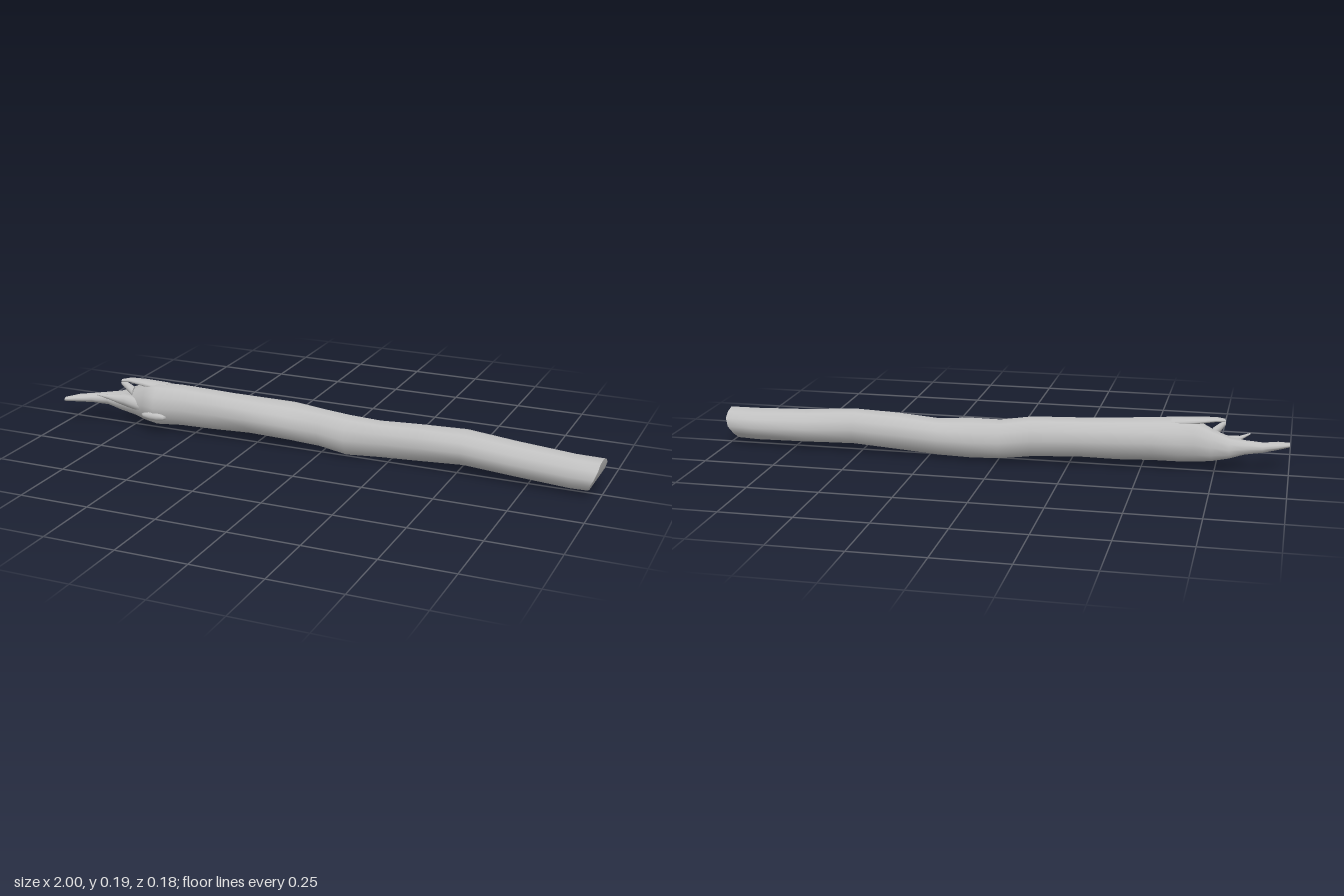
import * as THREE from 'three';

const SIDES = 12;

// Skins a closed tube over sections [x, yMin, yMax, zMin, zMax]; xShift bends the cut end
function loft(name, sections, material, xShift = () => 0) {
  const pos = [], index = [];
  const ring = ([x, y0, y1, z0, z1]) => {
    for (let j = 0; j < SIDES; j++) {
      const a = (j / SIDES) * Math.PI * 2;
      // gentle knots that never exceed the section's extents
      const r = 1 - 0.035 * (1 + Math.sin(3 * a + 9 * x)) * Math.abs(Math.sin(2 * a));
      const y = (y0 + y1) / 2 + Math.sin(a) * r * (y1 - y0) / 2;
      const z = (z0 + z1) / 2 + Math.cos(a) * r * (z1 - z0) / 2;
      pos.push(x + xShift(x, y, z), y, z);
    }
  };
  sections.forEach(ring);
  for (let i = 0; i < sections.length - 1; i++) {
    for (let j = 0; j < SIDES; j++) {
      const k = (j + 1) % SIDES, p = i * SIDES, q = p + SIDES;
      index.push(p + j, q + j, p + k, q + j, q + k, p + k);
    }
  }
  // End caps with their own rings, so the rims stay sharp
  [[sections[0], true], [sections[sections.length - 1], false]].forEach(([s, start]) => {
    const base = pos.length / 3;
    ring(s);
    const y = (s[1] + s[2]) / 2, z = (s[3] + s[4]) / 2;
    pos.push(s[0] + xShift(s[0], y, z), y, z);
    for (let j = 0; j < SIDES; j++) {
      const a = base + j, b = base + (j + 1) % SIDES;
      index.push(base + SIDES, start ? a : b, start ? b : a);
    }
  });
  const geo = new THREE.BufferGeometry();
  geo.setAttribute('position', new THREE.Float32BufferAttribute(pos, 3));
  geo.setIndex(index);
  geo.computeVertexNormals();
  const mesh = new THREE.Mesh(geo, material);
  mesh.name = name;
  return mesh;
}

export function createModel() {
  const group = new THREE.Group();
  group.name = 'brokenBranch';
  const bark = new THREE.MeshStandardMaterial({ color: 0xc0c0c0 });
  bark.name = 'greyBark';

  // Trunk, tapering to a curved tongue at the broken end
  const trunk = [
    [-1.0, 0.08, 0.095, 0.06, 0.088],
    [-0.96, 0.076, 0.103, 0.025, 0.075],
    [-0.91, 0.07, 0.106, 0.002, 0.045],
    [-0.85, 0.064, 0.115, -0.018, 0.034],
    [-0.8, 0.048, 0.124, -0.028, 0.035],
    [-0.74, 0.035, 0.15, -0.036, 0.042],
    [-0.68, 0.026, 0.178, -0.042, 0.07],
    [-0.63, 0.022, 0.183, -0.05, 0.085],
    [-0.54, 0.026, 0.18, -0.06, 0.066],
    [-0.42, 0.024, 0.174, -0.068, 0.055],
    [-0.28, 0.027, 0.168, -0.077, 0.052],
    [-0.12, 0.02, 0.164, -0.086, 0.048],
    [-0.01, 0.009, 0.15, -0.09, 0.026],
    [0.1, 0.001, 0.147, -0.086, 0.048],
    [0.21, 0.006, 0.14, -0.08, 0.03],
    [0.36, 0.015, 0.15, -0.078, 0.04],
    [0.52, 0.026, 0.155, -0.075, 0.046],
    [0.7, 0.019, 0.141, -0.071, 0.055],
    [0.9, 0.013, 0.131, -0.062, 0.066],
    [1.0, 0.015, 0.13, -0.058, 0.07],
  ];
  // Slanted cut: the low front edge falls short of the top
  const cut = (x, y, z) => x < 0.95 ? 0
    : -0.55 * Math.max(0, 0.09 - y) - 0.12 * Math.max(0, z);
  group.add(loft('trunk', trunk, bark, cut));

  // Splinter curling over the top of the break
  group.add(loft('upperSplinter', [
    [-0.78, 0.168, 0.18, 0.022, 0.04],
    [-0.75, 0.17, 0.186, 0.005, 0.04],
    [-0.69, 0.162, 0.185, -0.012, 0.045],
    [-0.6, 0.14, 0.182, -0.02, 0.04],
  ], bark));

  // Strut closing the gap beneath the curled splinter
  group.add(loft('splinterStrut', [
    [-0.782, 0.158, 0.176, 0.024, 0.038],
    [-0.765, 0.135, 0.168, 0.012, 0.034],
    [-0.74, 0.11, 0.15, 0, 0.034],
  ], bark));

  // Sharp prong on the front of the break
  group.add(loft('frontSplinter', [
    [-0.865, 0.118, 0.124, 0.067, 0.075],
    [-0.83, 0.1, 0.118, 0.036, 0.058],
    [-0.77, 0.075, 0.122, 0.01, 0.05],
    [-0.68, 0.06, 0.12, 0, 0.062],
  ], bark));

  // Small raised knot near the broken end
  const knot = new THREE.Mesh(new THREE.SphereGeometry(0.02, 10, 8), bark);
  knot.name = 'knot';
  knot.scale.set(2.6, 0.7, 0.6);
  knot.position.set(-0.63, 0.07, 0.075);
  group.add(knot);

  return group;
}
